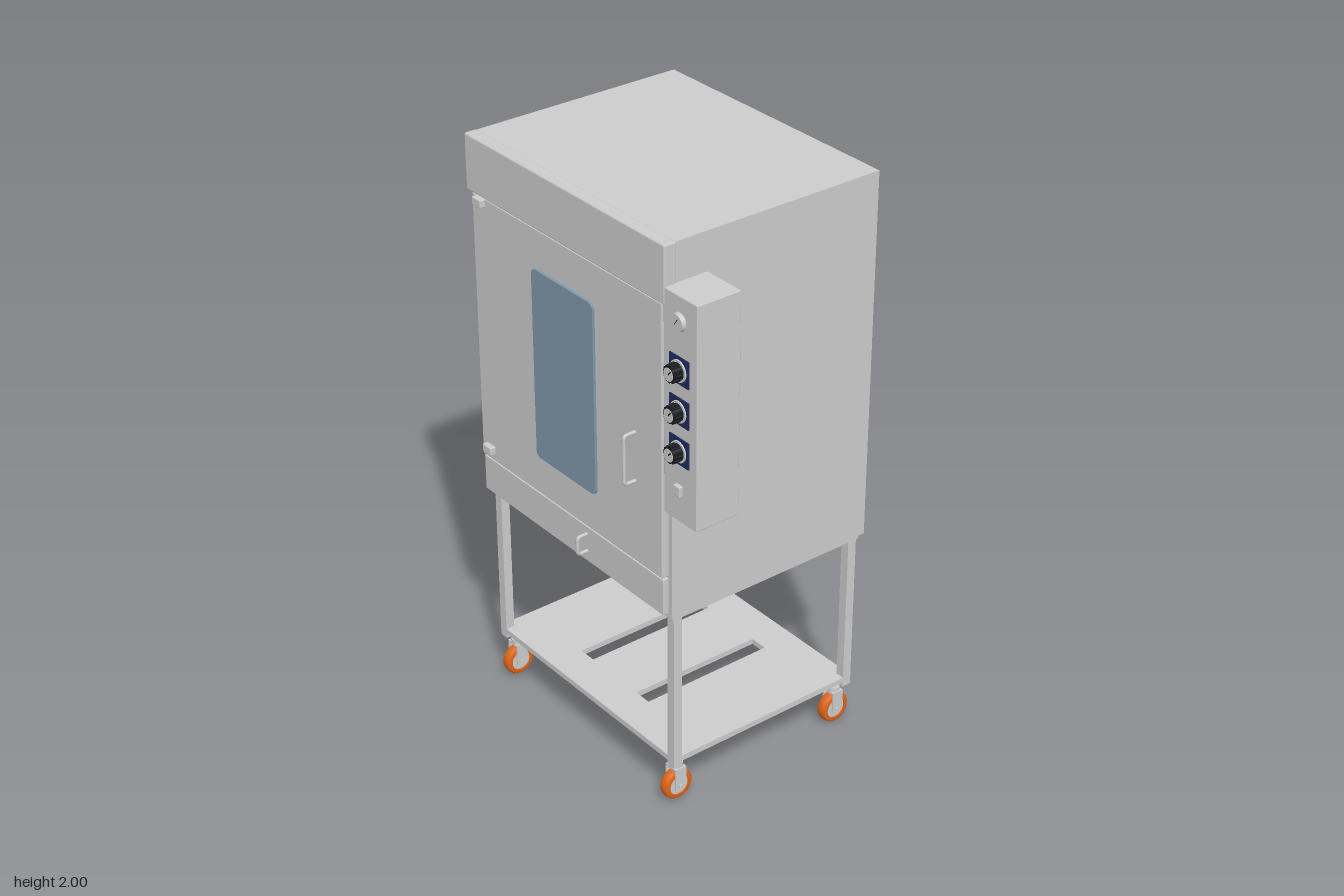
import * as THREE from 'three';
import { RoundedBoxGeometry } from 'three/addons/geometries/RoundedBoxGeometry.js';

const mat = (color) => new THREE.MeshStandardMaterial({ color });
const grey = mat(0xcccccc);
const navy = mat(0x1f2a5c);
const black = mat(0x15181c);
const orange = mat(0xe0661a);
const glass = mat(0x7f98aa);

function add(parent, name, geometry, material = grey) {
  const mesh = new THREE.Mesh(geometry, material);
  mesh.name = name;
  parent.add(mesh);
  return mesh;
}

// Box given by its limits on each axis
function box(parent, name, [x0, x1], [y0, y1], [z0, z1], material = grey, round = 0) {
  const size = [x1 - x0, y1 - y0, z1 - z0];
  const geometry = round ? new RoundedBoxGeometry(...size, 2, round) : new THREE.BoxGeometry(...size);
  const mesh = add(parent, name, geometry, material);
  mesh.position.set((x0 + x1) / 2, (y0 + y1) / 2, (z0 + z1) / 2);
  return mesh;
}

// Round part facing +z, between two z limits
function disc(parent, name, x, y, r, z0, z1, material = grey, rFront = r) {
  const geometry = new THREE.CylinderGeometry(rFront, r, z1 - z0, 32).rotateX(Math.PI / 2);
  const mesh = add(parent, name, geometry, material);
  mesh.position.set(x, y, (z0 + z1) / 2);
  return mesh;
}

// Upright U-shaped pull handle
function handle(parent, name, x, y0, y1, z0, z1) {
  const r = 0.012;
  const path = new THREE.CurvePath();
  const v = (y, z) => new THREE.Vector3(x, y, z);
  path.add(new THREE.LineCurve3(v(y0, z0), v(y0, z1 - r)));
  path.add(new THREE.QuadraticBezierCurve3(v(y0, z1 - r), v(y0, z1), v(y0 + r, z1)));
  path.add(new THREE.LineCurve3(v(y0 + r, z1), v(y1 - r, z1)));
  path.add(new THREE.QuadraticBezierCurve3(v(y1 - r, z1), v(y1, z1), v(y1, z1 - r)));
  path.add(new THREE.LineCurve3(v(y1, z1 - r), v(y1, z0)));
  add(parent, name, new THREE.TubeGeometry(path, 60, 0.006, 12));
}

function roundedRect(x0, x1, y0, y1, r) {
  const s = new THREE.Shape();
  s.absarc(x1 - r, y1 - r, r, 0, Math.PI / 2);
  s.absarc(x0 + r, y1 - r, r, Math.PI / 2, Math.PI);
  s.absarc(x0 + r, y0 + r, r, Math.PI, Math.PI * 1.5);
  s.absarc(x1 - r, y0 + r, r, Math.PI * 1.5, Math.PI * 2);
  s.closePath();
  return s;
}

function createCaster() {
  const caster = new THREE.Group();
  caster.name = 'caster';
  // Tyre with rounded shoulders, hub and axle
  const tyre = [[0.036, -0.018], [0.048, -0.018], [0.053, -0.013], [0.055, 0],
    [0.053, 0.013], [0.048, 0.018], [0.036, 0.018], [0.036, -0.018]];
  const parts = [
    ['tyre', new THREE.LatheGeometry(tyre.map((p) => new THREE.Vector2(...p)), 40), orange],
    ['hub', new THREE.CylinderGeometry(0.037, 0.037, 0.028, 32), grey],
    ['axle', new THREE.CylinderGeometry(0.008, 0.008, 0.06, 16), grey],
  ];
  for (const [name, geometry, material] of parts) {
    add(caster, name, geometry.rotateZ(Math.PI / 2), material).position.y = 0.055;
  }
  // Fork, swivel and mounting stem
  for (const s of [-1, 1]) {
    box(caster, 'forkArm', [s * 0.0235 - 0.0025, s * 0.0235 + 0.0025], [0.045, 0.125], [-0.021, 0.021]);
  }
  box(caster, 'forkCrown', [-0.026, 0.026], [0.117, 0.125], [-0.021, 0.021]);
  add(caster, 'swivel', new THREE.CylinderGeometry(0.022, 0.022, 0.016, 24)).position.y = 0.131;
  add(caster, 'stem', new THREE.CylinderGeometry(0.009, 0.009, 0.035, 16)).position.y = 0.15;
  return caster;
}

function createCabinet() {
  const cabinet = new THREE.Group();
  cabinet.name = 'cabinet';
  box(cabinet, 'body', [-0.563, 0.413], [0.735, 1.998], [-0.425, 0.35]);
  box(cabinet, 'hood', [-0.567, 0.417], [1.812, 2], [0.335, 0.38], grey, 0.006);

  // Door with window, hinges and handle
  box(cabinet, 'door', [-0.545, 0.395], [0.88, 1.808], [0.345, 0.374], grey, 0.003);
  const pane = new THREE.ExtrudeGeometry(roundedRect(-0.23, 0.077, 1.02, 1.678, 0.02),
    { depth: 0.011, bevelEnabled: false, curveSegments: 6 });
  add(cabinet, 'window', pane, glass).position.z = 0.372;
  for (const y of [0.92, 1.795]) {
    box(cabinet, 'hinge', [-0.52, -0.475], [y - 0.014, y + 0.014], [0.37, 0.394], grey, 0.004);
  }
  handle(cabinet, 'doorHandle', 0.268, 1.165, 1.332, 0.37, 0.416);

  // Lower drawer
  box(cabinet, 'drawerFront', [-0.545, 0.395], [0.745, 0.873], [0.345, 0.37], grey, 0.003);
  handle(cabinet, 'drawerHandle', 0.01, 0.783, 0.845, 0.365, 0.406);
  return cabinet;
}

function createControls() {
  const controls = new THREE.Group();
  controls.name = 'controlBox';
  const x = 0.485;
  box(controls, 'housing', [0.41, 0.563], [1.13, 1.87], [0.22, 0.378], grey, 0.003);
  // Gauge
  disc(controls, 'gaugeRim', x, 1.79, 0.03, 0.377, 0.392, grey, 0.027);
  const needle = box(controls, 'gaugeNeedle', [x - 0.001, x + 0.001], [1.782, 1.806], [0.391, 0.393], black);
  needle.rotation.z = -0.6;
  // Knobs on square plates
  for (const y of [1.635, 1.502, 1.37]) {
    box(controls, 'knobPlate', [x - 0.044, x + 0.044], [y - 0.044, y + 0.044], [0.376, 0.382], navy);
    disc(controls, 'knobDial', x, y, 0.035, 0.38, 0.386, grey);
    disc(controls, 'knob', x, y, 0.028, 0.385, 0.419, black, 0.025);
    for (let i = 0; i < 12; i++) {
      const a = (i / 12) * Math.PI * 2;
      disc(controls, 'knobGrip', x + Math.cos(a) * 0.026, y + Math.sin(a) * 0.026, 0.004, 0.389, 0.416, black, 0.003);
    }
    disc(controls, 'knobCap', x, y, 0.021, 0.417, 0.421, grey);
    const pointer = box(controls, 'knobPointer', [x - 0.002, x + 0.002], [y + 0.002, y + 0.02], [0.42, 0.422], black);
    // Swing the pointer about the knob centre
    pointer.position.set(x + 0.0075, y + 0.008, 0.421);
    pointer.rotation.z = -0.75;
  }
  // Switch
  box(controls, 'switch', [x - 0.015, x + 0.015], [1.221, 1.257], [0.376, 0.392], grey, 0.004);
  return controls;
}

function createStand() {
  const stand = new THREE.Group();
  stand.name = 'stand';
  const cx = -0.073, cz = -0.035;
  // Top frame of four rails
  for (const s of [-1, 1]) {
    const x = cx + s * 0.462, z = cz + s * 0.36;
    box(stand, 'sideRail', [x - 0.016, x + 0.016], [0.718, 0.736], [cz - 0.376, cz + 0.376]);
    box(stand, 'crossRail', [cx - 0.478, cx + 0.478], [0.718, 0.736], [z - 0.016, z + 0.016]);
  }
  // Legs and casters
  for (const sx of [-1, 1]) {
    for (const sz of [-1, 1]) {
      const x = cx + sx * 0.457, z = cz + sz * 0.353;
      box(stand, 'leg', [x - 0.016, x + 0.016], [0.15, 0.725], [z - 0.016, z + 0.016]);
      const caster = createCaster();
      caster.position.set(cx + sx * 0.434, 0, cz + sz * 0.33);
      stand.add(caster);
    }
  }
  // Shelf with two long slots
  const shelf = roundedRect(-0.473, 0.473, -0.369, 0.369, 0.002);
  for (const s of [-1, 1]) {
    shelf.holes.push(new THREE.Path(roundedRect(s * 0.15 - 0.032, s * 0.15 + 0.032, -0.245, 0.245, 0.002).getPoints(2)));
  }
  const plate = new THREE.ExtrudeGeometry(shelf, { depth: 0.02, bevelEnabled: false, curveSegments: 2 });
  add(stand, 'shelf', plate.rotateX(-Math.PI / 2)).position.set(cx, 0.166, cz);
  return stand;
}

export function createModel() {
  const model = new THREE.Group();
  model.name = 'ovenOnStand';
  model.add(createCabinet(), createControls(), createStand());
  return model;
}
